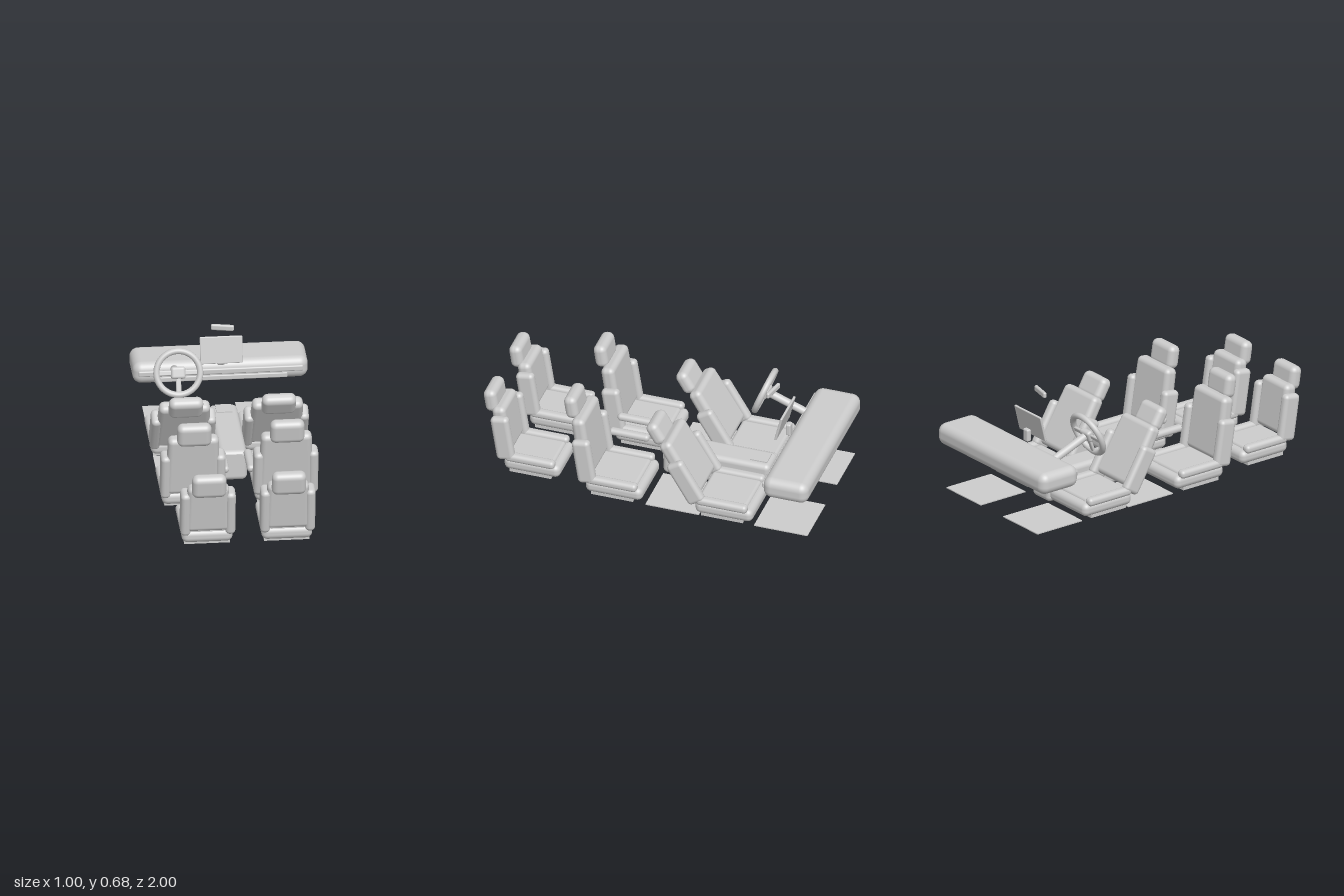
import * as THREE from 'three';
import { RoundedBoxGeometry } from 'three/addons/geometries/RoundedBoxGeometry.js';

export function createModel() {
  const grey = new THREE.MeshStandardMaterial({ color: 0xcccccc });
  grey.name = 'grey trim';
  const model = new THREE.Group();
  model.name = 'vehicleInterior';

  function add(parent, name, geometry, x = 0, y = 0, z = 0) {
    const mesh = new THREE.Mesh(geometry, grey);
    mesh.name = name;
    mesh.position.set(x, y, z);
    parent.add(mesh);
    return mesh;
  }
  // rounded block given by its size and centre
  const block = (parent, name, [w, h, d], r, x, y, z) =>
    add(parent, name, new RoundedBoxGeometry(w, h, d, 4, r), x, y, z);
  const plate = (parent, name, [w, h, d], x, y, z) =>
    add(parent, name, new THREE.BoxGeometry(w, h, d), x, y, z);

  // seat back panel, slightly wider at its foot
  function backPanel(w, h, d) {
    const geo = new RoundedBoxGeometry(w, h, d, 4, 0.03);
    const p = geo.attributes.position;
    for (let i = 0; i < p.count; i++) p.setX(i, p.getX(i) * (1 - 0.08 * (p.getY(i) / h)));
    geo.computeVertexNormals === undefined;
    return geo;
  }

  // z and y locate the hinge of the backrest
  function makeSeat({ name, x, z, y, tilt, width, backTop, headY, cushionFront, arm }) {
    const seat = new THREE.Group();
    seat.name = name;
    seat.position.x = x;
    const side = width / 2 - 0.022;
    const rear = z + 0.015;
    const depth = rear - cushionFront;
    const mid = (rear + cushionFront) / 2;

    // cushion on a flat base
    plate(seat, 'seatBase', [width - 0.04, 0.02, 0.25], 0, 0.025, mid + 0.01);
    block(seat, 'cushion', [width - 0.01, 0.08, depth], 0.034, 0, 0.07, mid);
    block(seat, 'cushionPad', [width - 0.08, 0.05, depth - 0.05], 0.02, 0, 0.1, mid + 0.015);
    for (const s of [-1, 1])
      block(seat, 'cushionBolster', [0.055, 0.05, depth - 0.04], 0.022, s * side, 0.117, mid + 0.01);

    // reclined backrest
    const back = new THREE.Group();
    back.name = 'backrest';
    back.position.set(0, y, z);
    back.rotation.x = THREE.MathUtils.degToRad(tilt);
    add(back, 'backPanel', backPanel(width - 0.055, backTop - 0.02, 0.08), 0, (backTop + 0.02) / 2, 0.01);
    for (const s of [-1, 1])
      block(back, 'backBolster', [0.057, 0.28, 0.108], 0.025, s * side, 0.135, 0);
    block(back, 'headrest', [0.195, 0.14, 0.077], 0.034, 0, headY, 0.058);
    seat.add(back);

    if (arm) block(seat, 'armrest', [0.048, 0.042, 0.24], 0.02, -Math.sign(x) * 0.19, 0.222, z - 0.135);
    model.add(seat);
  }

  for (const s of [-1, 1]) {
    makeSeat({ name: 'frontSeat', x: s * 0.265, z: -0.32, y: 0.107, tilt: 31, width: 0.355,
      backTop: 0.395, headY: 0.441, cushionFront: -0.65 });
    makeSeat({ name: 'middleSeat', x: s * 0.265, z: 0.337, y: 0.1, tilt: 9, width: 0.355,
      backTop: 0.395, headY: 0.441, cushionFront: 0.01, arm: true });
    makeSeat({ name: 'rearSeat', x: s * 0.2275, z: 0.845, y: 0.105, tilt: 9, width: 0.3,
      backTop: 0.32, headY: 0.347, cushionFront: 0.525 });
    // floor mats
    plate(model, 'frontMat', [0.32, 0.006, 0.32], s * 0.265, 0.017, -0.82);
    plate(model, 'middleMat', [0.32, 0.006, 0.32], s * 0.265, 0.017, -0.17);
  }

  // centre console with control plate and rear panel
  block(model, 'console', [0.163, 0.183, 0.64], 0.03, 0, 0.0925, -0.315);
  plate(model, 'consolePlate', [0.09, 0.008, 0.1], 0, 0.186, -0.56);
  plate(model, 'consoleRearPanel', [0.105, 0.085, 0.006], 0, 0.125, 0.005);

  // dashboard
  block(model, 'dashboard', [1, 0.13, 0.27], 0.05, 0, 0.335, -0.865);
  block(model, 'dashTrim', [0.94, 0.034, 0.02], 0.008, 0, 0.342, -0.731);
  block(model, 'dashLowerTrim', [0.76, 0.03, 0.014], 0.006, 0, 0.302, -0.731);

  // centre screen leaning away from the seats
  const screen = block(model, 'screen', [0.243, 0.158, 0.014], 0.005, 0, 0.488, -0.703);
  screen.rotation.x = -0.24;
  block(model, 'screenStand', [0.045, 0.075, 0.03], 0.01, 0, 0.422, -0.728);

  // rear view mirror
  const mirror = block(model, 'mirror', [0.132, 0.036, 0.022], 0.01, 0, 0.663, -0.632);
  mirror.rotation.y = -0.22;

  // steering wheel, axis along local z toward the driver
  const wheel = new THREE.Group();
  wheel.name = 'steeringWheel';
  wheel.position.set(-0.265, 0.455, -0.495);
  wheel.rotation.x = -THREE.MathUtils.degToRad(21);
  add(wheel, 'rim', new THREE.TorusGeometry(0.125, 0.018, 14, 48));
  block(wheel, 'hub', [0.085, 0.07, 0.04], 0.016, 0, 0, -0.008);
  for (const s of [-1, 1])
    block(wheel, 'sideSpoke', [0.09, 0.03, 0.016], 0.007, s * 0.078, 0, -0.005);
  block(wheel, 'lowerSpoke', [0.03, 0.1, 0.016], 0.007, 0, -0.075, -0.005);
  const column = add(wheel, 'column', new THREE.CylinderGeometry(0.023, 0.023, 0.27, 24), 0, 0, -0.14);
  column.rotation.x = Math.PI / 2;
  model.add(wheel);

  return model;
}
